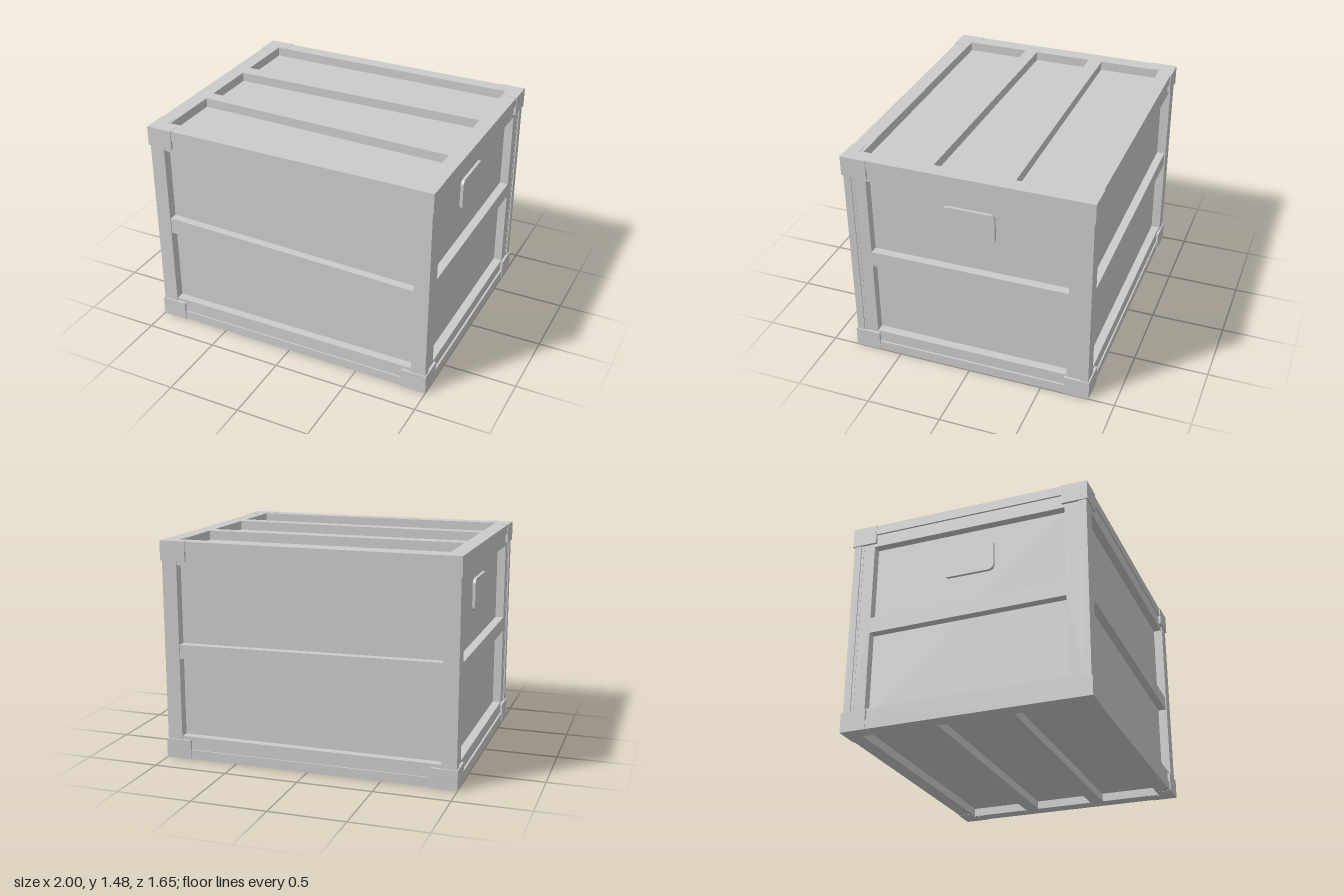
import * as THREE from 'three';

const material = new THREE.MeshStandardMaterial({ color: 0xcccccc, flatShading: true });

function add(parent, name, geometry, x = 0, y = 0, z = 0) {
  const mesh = new THREE.Mesh(geometry, material);
  mesh.name = name;
  mesh.position.set(x, y, z);
  parent.add(mesh);
  return mesh;
}

// Box given by its low and high corners
function span(parent, name, a, b) {
  const size = a.map((v, i) => Math.abs(b[i] - v));
  return add(parent, name, new THREE.BoxGeometry(...size), ...a.map((v, i) => (v + b[i]) / 2));
}

// Frame with openings between slats; each slat is [low left, high left, low right, high right]
function frameGeometry(w, v0, v1, holeW, h0, h1, slats, depth) {
  const shape = new THREE.Shape([[-w, v0], [w, v0], [w, v1], [-w, v1]].map(p => new THREE.Vector2(...p)));
  let left = h0, right = h0;
  for (const [ll, hl, lr, hr] of [...slats, [h1, h1, h1, h1]]) {
    shape.holes.push(new THREE.Path(
      [[-holeW, left], [-holeW, ll], [holeW, lr], [holeW, right]].map(p => new THREE.Vector2(...p))));
    left = hl;
    right = hr;
  }
  return new THREE.ExtrudeGeometry(shape, { depth, bevelEnabled: false });
}

// Rounded plate lying in the xy plane
function plateGeometry(w, h, r, depth) {
  const s = new THREE.Shape();
  s.absarc(w - r, h - r, r, 0, Math.PI / 2);
  s.absarc(-w + r, h - r, r, Math.PI / 2, Math.PI);
  s.absarc(-w + r, -h + r, r, Math.PI, Math.PI * 1.5);
  s.absarc(w - r, -h + r, r, Math.PI * 1.5, Math.PI * 2);
  return new THREE.ExtrudeGeometry(s, { depth, bevelEnabled: false, curveSegments: 6 });
}

export function createModel() {
  const crate = new THREE.Group();
  crate.name = 'crate';

  // Recessed panels of all six sides
  span(crate, 'panels', [-0.925, 0.06, -0.755], [0.925, 1.41, 0.755]);

  // Front and back frames with one sloping slat each
  add(crate, 'frontFrame', frameGeometry(0.985, 0.04, 1.43, 0.89, 0.155, 1.315,
    [[0.69, 0.803, 0.655, 0.752]], 0.06), 0, 0, 0.75);
  add(crate, 'backFrame', frameGeometry(0.985, 0.04, 1.43, 0.89, 0.155, 1.315,
    [[0.69, 0.785, 0.71, 0.81]], 0.06), 0, 0, -0.75).rotation.y = Math.PI;

  // Side frames with handle plates
  for (const s of [-1, 1]) {
    const side = new THREE.Group();
    side.name = s > 0 ? 'leftSide' : 'rightSide';
    side.rotation.y = s * Math.PI / 2;
    add(side, 'sideFrame', frameGeometry(0.8, 0.04, 1.43, 0.67, 0.145, 1.32,
      [[0.677, 0.785, 0.69, 0.79]], 0.065), 0, 0, 0.918);
    add(side, 'handlePlate', plateGeometry(0.173, 0.109, 0.035, 0.035), 0, 1.11, 0.91);
    crate.add(side);
  }

  // Lid and base, slightly wider than the walls
  add(crate, 'lidFrame', frameGeometry(0.996, -0.82, 0.82, 0.892, -0.717, 0.725,
    [[-0.285, -0.197, -0.335, -0.24], [0.2, 0.297, 0.215, 0.295]], 0.065), 0, 1.408, 0)
    .rotation.x = -Math.PI / 2;
  add(crate, 'baseFrame', frameGeometry(0.996, -0.82, 0.82, 0.892, -0.72, 0.72,
    [[-0.3, -0.205, -0.3, -0.205], [0.205, 0.3, 0.205, 0.3]], 0.063), 0, 0.065, 0)
    .rotation.x = Math.PI / 2;

  // Corner posts, each capped by a bracket at both ends
  for (const x of [-1, 1]) for (const z of [-1, 1]) {
    span(crate, 'cornerPost', [x * 0.89, 0.03, z * 0.768], [x * 0.992, 1.44, z * 0.818]);
    for (const [low, high] of [[0, 0.132], [1.343, 1.475]]) {
      span(crate, 'cornerBracket', [x * 0.825, low, z * 0.74], [x, high, z * 0.827]);
      span(crate, 'cornerBracket', [x * 0.9, low, z * 0.655], [x, high, z * 0.827]);
    }
  }
  return crate;
}
